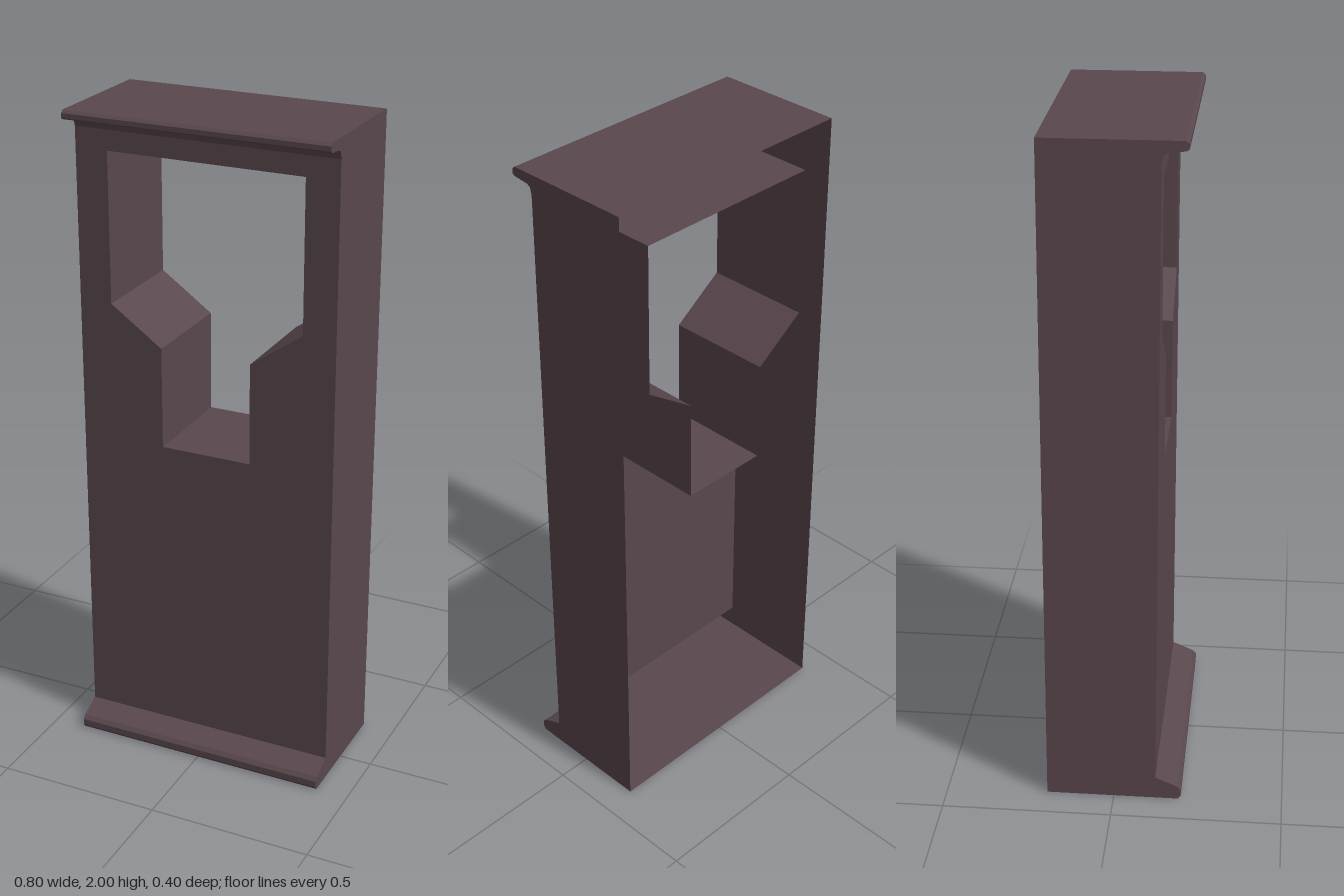
import * as THREE from 'three';

const W = 0.4, BACK = -0.2;
const material = new THREE.MeshStandardMaterial({ color: 0x59474d, flatShading: true, side: THREE.DoubleSide });

// Front panel leans very slightly forward with height
const frontZ = (y) => 0.124 + 0.002 * (y - 0.07);

// Side outline as [z, y], from the back bottom edge round the front to the back top edge
const lowerLip = [[BACK, 0], [0.192, 0], [0.2, 0.01], [0.2, 0.03], [0.19, 0.042], [frontZ(0.07), 0.07]];
const upperLip = [[frontZ(1.94), 1.94], [0.133, 1.962], [0.145, 1.968], [0.192, 1.973], [0.2, 1.978],
  [0.2, 1.992], [0.191, 2], [BACK, 2]];

// Keyhole-shaped opening, counter-clockwise as [x, y]
const half = [[0.14, 1.005], [0.14, 1.315], [0.3, 1.428], [0.3, 1.88]];
const opening = [...half, ...half.map(([x, y]) => [-x, y]).reverse()];

const toVectors = (pts) => pts.map(([a, b]) => new THREE.Vector2(a, b));

// Surface of quads between two rails of points
function ribbon(railA, railB) {
  const pos = [];
  for (let i = 0; i < railA.length - 1; i++) {
    const [a, b, c, d] = [railA[i], railA[i + 1], railB[i + 1], railB[i]];
    pos.push(...a, ...b, ...c, ...a, ...c, ...d);
  }
  const g = new THREE.BufferGeometry();
  g.setAttribute('position', new THREE.Float32BufferAttribute(pos, 3));
  g.computeVertexNormals();
  return g;
}

export function createModel() {
  const group = new THREE.Group();
  const add = (name, geometry) => {
    const mesh = new THREE.Mesh(geometry, material);
    mesh.name = name;
    group.add(mesh);
    return mesh;
  };

  // Base and top sheets with their projecting lips
  const sheet = (pts) => ribbon(pts.map(([z, y]) => [W, y, z]), pts.map(([z, y]) => [-W, y, z]));
  add('baseWithLip', sheet(lowerLip));
  add('topWithLip', sheet(upperLip));

  // Front panel with the opening cut out
  const panel = new THREE.Shape(toVectors([[-W, 0.07], [W, 0.07], [W, 1.94], [-W, 1.94]]));
  panel.holes.push(new THREE.Path(toVectors(opening)));
  const front = new THREE.ShapeGeometry(panel);
  const p = front.attributes.position;
  for (let i = 0; i < p.count; i++) p.setZ(i, frontZ(p.getY(i)));
  front.computeVertexNormals();
  add('frontPanel', front);

  // Walls running from the opening through to the open back
  const loop = [...opening, opening[0]];
  add('openingWalls', ribbon(loop.map(([x, y]) => [x, y, frontZ(y)]), loop.map(([x, y]) => [x, y, BACK])));

  // Mirrored side panels
  const side = new THREE.ShapeGeometry(new THREE.Shape(toVectors([...lowerLip, ...upperLip])));
  side.rotateY(-Math.PI / 2).translate(-W, 0, 0);
  add('rightSide', side);
  add('leftSide', side).scale.x = -1;

  return group;
}
